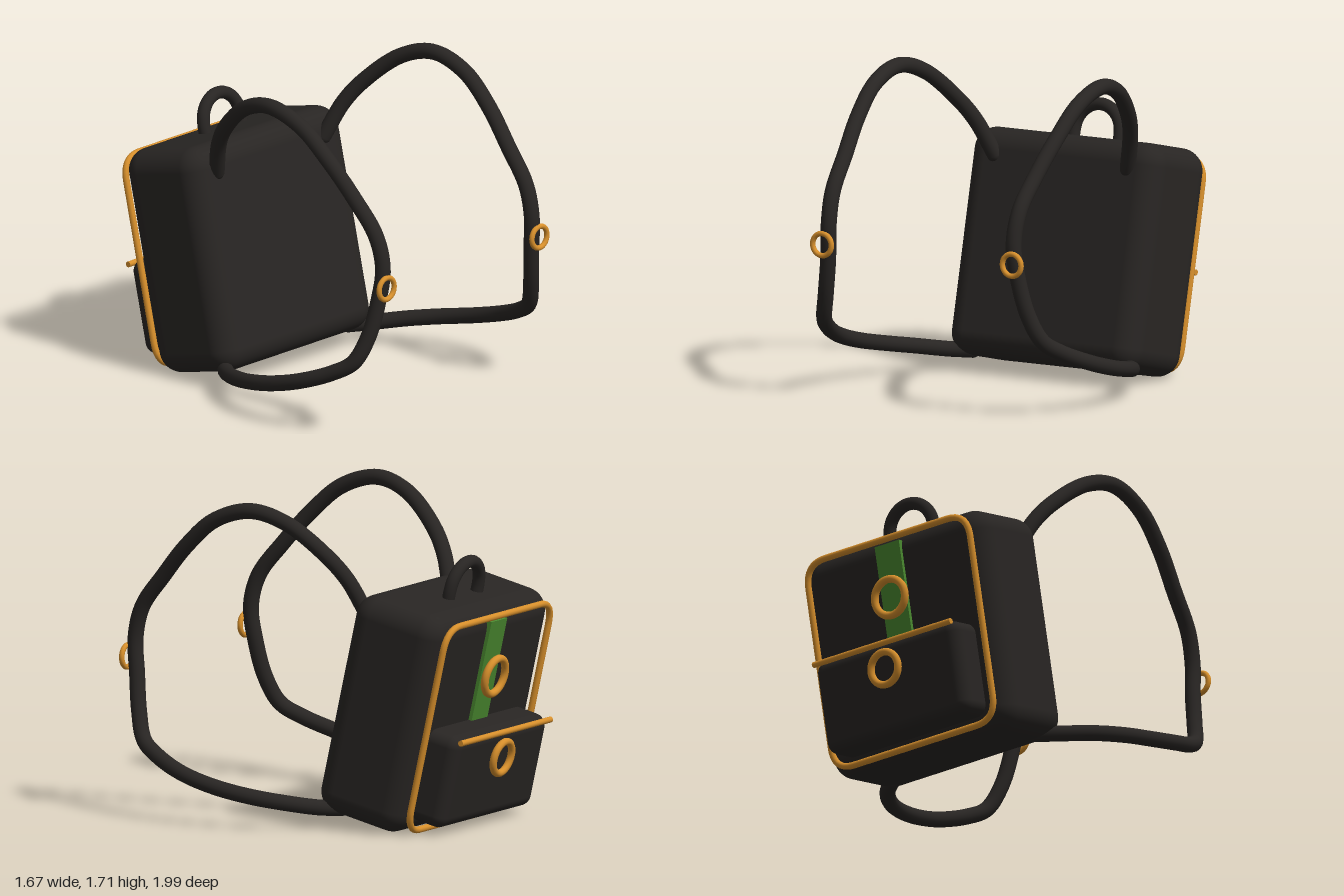
import * as THREE from 'three';
import { RoundedBoxGeometry } from 'three/addons/geometries/RoundedBoxGeometry.js';

const paint = (color) => new THREE.MeshStandardMaterial({ color });
const V = (x, y, z) => new THREE.Vector3(x, y, z);

export function createModel() {
  const black = paint(0x282523);
  const gold = paint(0xd8902c);
  const green = paint(0x4a8a30);
  const model = new THREE.Group();
  model.name = 'backpack';

  const add = (parent, name, geometry, material, x = 0, y = 0, z = 0) => {
    const mesh = new THREE.Mesh(geometry, material);
    mesh.name = name;
    mesh.position.set(x, y, z);
    parent.add(mesh);
    return mesh;
  };

  // Round tube along a curve, with ball ends
  const cord = (parent, name, curve, radius, material, segments) => {
    const group = new THREE.Group();
    group.name = name;
    parent.add(group);
    add(group, name + 'Tube', new THREE.TubeGeometry(curve, segments, radius, 16), material);
    for (const t of [0, 1]) {
      const p = curve.getPoint(t);
      add(group, name + 'End', new THREE.SphereGeometry(radius, 16, 12), material, p.x, p.y, p.z);
    }
  };

  // Bag leaning backwards; its outer face looks towards -z
  const bag = new THREE.Group();
  bag.name = 'bag';
  bag.position.set(0, 0.64, -0.53);
  bag.rotation.x = -0.224;
  model.add(bag);
  add(bag, 'body', new RoundedBoxGeometry(1.19, 1.21, 0.55, 8, 0.12), black);
  add(bag, 'pocket', new RoundedBoxGeometry(0.94, 0.51, 0.24, 6, 0.065), black, 0, -0.265, -0.335);
  add(bag, 'stripe', new THREE.BoxGeometry(0.16, 0.86, 0.03), green, 0, 0.11, -0.28);

  // Piping: rounded rectangle around the outer face
  const w = 0.535, h = 0.567, r = 0.13;
  const piping = new THREE.CurvePath();
  const corners = [[w, h], [-w, h], [-w, -h], [w, -h]];
  corners.forEach(([x, y], i) => {
    const [nx, ny] = corners[(i + 1) % 4];
    const corner = V(x, y, 0), next = V(nx, ny, 0);
    const previous = V(...corners[(i + 3) % 4], 0);
    const toward = (a, b) => a.clone().add(b.clone().sub(a).setLength(r));
    piping.add(new THREE.QuadraticBezierCurve3(toward(corner, previous), corner.clone().lerp(V(0, 0, 0), 0), toward(corner, next)));
    piping.add(new THREE.LineCurve3(toward(corner, next), toward(next, corner)));
  });
  add(bag, 'piping', new THREE.TubeGeometry(piping, 160, 0.018, 10, true), gold, 0, 0, -0.294);

  // Zip bar along the pocket top
  const zip = add(bag, 'zip', new THREE.CylinderGeometry(0.016, 0.016, 0.91, 12), gold, 0, -0.028, -0.463);
  zip.rotation.z = Math.PI / 2;

  // Rings on the outer face
  add(bag, 'upperRing', new THREE.TorusGeometry(0.098, 0.021, 12, 40), gold, 0, 0.24, -0.335);
  add(bag, 'pocketRing', new THREE.TorusGeometry(0.088, 0.02, 12, 40), gold, 0, -0.168, -0.475);

  // Carrying handle
  const arch = [V(0.143, 0.59, 0)];
  for (let i = 0; i <= 8; i++) {
    const a = (i / 8) * Math.PI;
    arch.push(V(0.143 * Math.cos(a), 0.645 + 0.143 * Math.sin(a), 0));
  }
  arch.push(V(-0.143, 0.59, 0));
  arch.forEach((p) => { p.z = -0.048; });
  cord(bag, 'handle', new THREE.CatmullRomCurve3(arch), 0.034, black, 48);

  // Shoulder straps, mirrored, each with a ring at the front
  const strapPath = [
    [0.42, 1.14, -0.38], [0.49, 1.33, -0.3], [0.545, 1.46, -0.2], [0.61, 1.62, 0], [0.64, 1.675, 0.2],
    [0.643, 1.61, 0.42], [0.63, 1.46, 0.6], [0.605, 1.28, 0.76], [0.59, 1.1, 0.9],
    [0.585, 0.93, 0.945], [0.6, 0.75, 0.927], [0.64, 0.55, 0.89], [0.69, 0.41, 0.83],
    [0.735, 0.34, 0.72], [0.785, 0.27, 0.54], [0.79, 0.215, 0.34], [0.755, 0.175, 0.14],
    [0.68, 0.145, -0.03], [0.57, 0.118, -0.18], [0.48, 0.11, -0.26],
  ];
  for (const [side, s] of [['left', 1], ['right', -1]]) {
    const curve = new THREE.CatmullRomCurve3(strapPath.map(([x, y, z]) => V(s * x, y, z)));
    cord(model, side + 'Strap', curve, 0.042, black, 140);
    add(model, side + 'StrapRing', new THREE.TorusGeometry(0.059, 0.0145, 12, 36), gold, s * 0.6, 0.83, 0.985);
  }
  return model;
}
